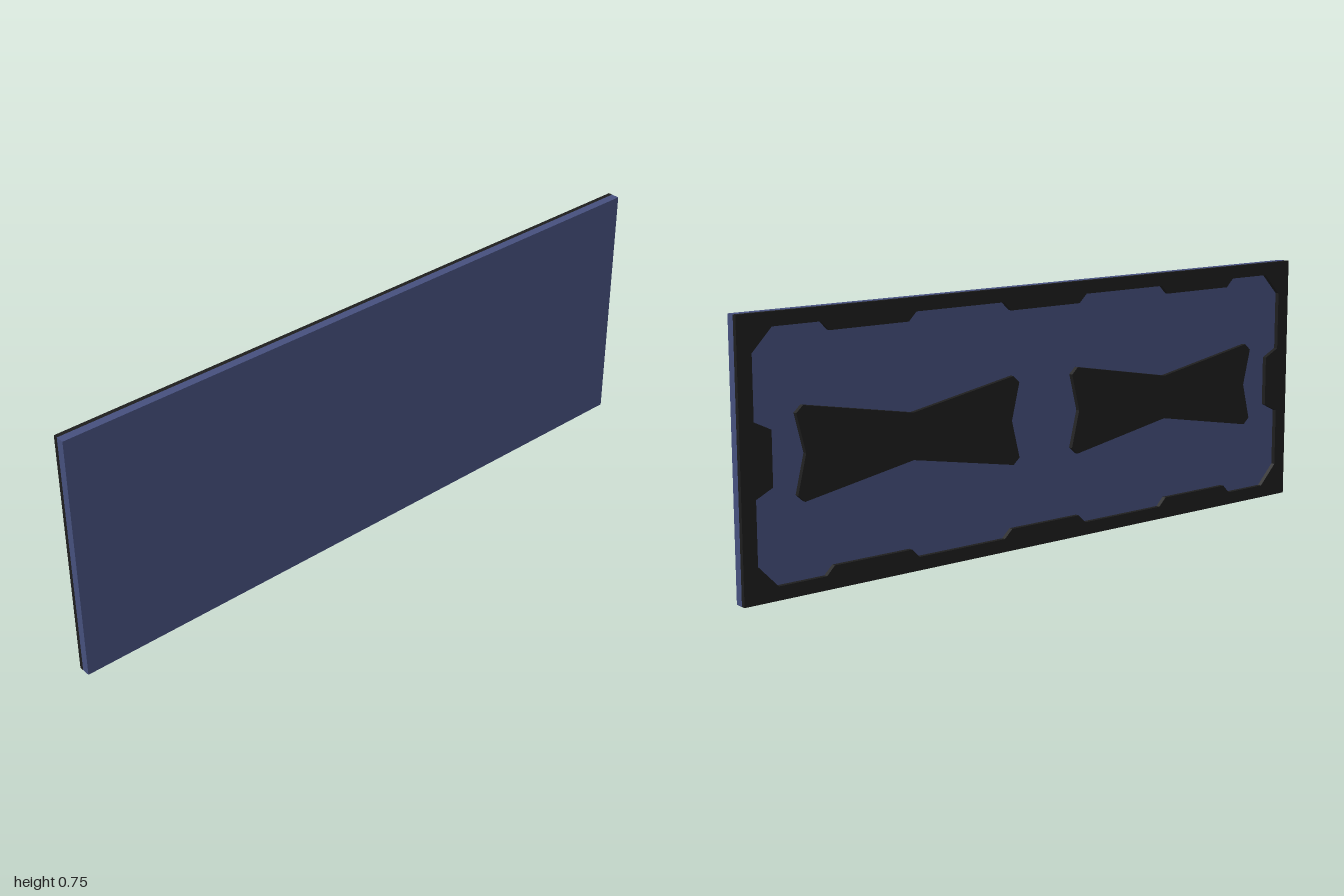
import * as THREE from 'three';

const W = 2, H = 0.75, MID = H / 2;
const FRONT = 0.019, SEAM = -0.006, BACK = -0.019;

const toShape = (pts) => new THREE.Shape(pts.map(([x, y]) => new THREE.Vector2(x, y)));

// Completes an outline from its top-right quarter by mirroring in x and y.
// The quarter runs from the right side up and round to the top.
function mirrorQuarter(quarter, cx = 0) {
  const back = [...quarter].reverse();
  return [
    ...quarter.map(([x, y]) => [cx + x, MID + y]),
    ...back.map(([x, y]) => [cx - x, MID + y]),
    ...quarter.map(([x, y]) => [cx - x, MID - y]),
    ...back.map(([x, y]) => [cx + x, MID - y]),
  ];
}

export function createModel() {
  const group = new THREE.Group();
  const blue = new THREE.MeshStandardMaterial({ color: 0x46507e });
  const black = new THREE.MeshStandardMaterial({ color: 0x1e1e1e });

  const add = (name, geometry, material, z) => {
    const mesh = new THREE.Mesh(geometry, material);
    mesh.name = name;
    mesh.position.z = z;
    group.add(mesh);
    return mesh;
  };
  const backing = (shape) =>
    new THREE.ExtrudeGeometry(shape, { depth: SEAM - BACK, bevelEnabled: false });

  // Flat front panel
  add('frontPanel', new THREE.BoxGeometry(W, H, FRONT - SEAM), blue, (FRONT + SEAM) / 2)
    .position.y = MID;

  // Back rim with chamfered corners and tabs pointing inward
  const rim = toShape([[-W / 2, 0], [W / 2, 0], [W / 2, H], [-W / 2, H]]);
  rim.holes.push(toShape(mirrorQuarter([
    [0.906, 0.075], [0.957, 0.1], [0.957, 0.275], [0.897, 0.337],
    [0.75, 0.337], [0.725, 0.312], [0.475, 0.312], [0.45, 0.337],
    [0.152, 0.337], [0.125, 0.312],
  ])));
  add('backRim', backing(rim), black, BACK);

  // Two bow-tie pads inside the rim
  for (const [name, cx] of [['leftBackPad', 0.465], ['rightBackPad', -0.465]]) {
    const outline = mirrorQuarter([[0.367, 0.108], [0.346, 0.127]], cx);
    // Waist and notch points between the mirrored corners
    outline.splice(8, 0, [cx + 0.34, MID]);
    outline.splice(6, 0, [cx, MID - 0.065]);
    outline.splice(4, 0, [cx - 0.34, MID]);
    outline.splice(2, 0, [cx, MID + 0.065]);
    add(name, backing(toShape(outline)), black, BACK);
  }

  return group;
}
